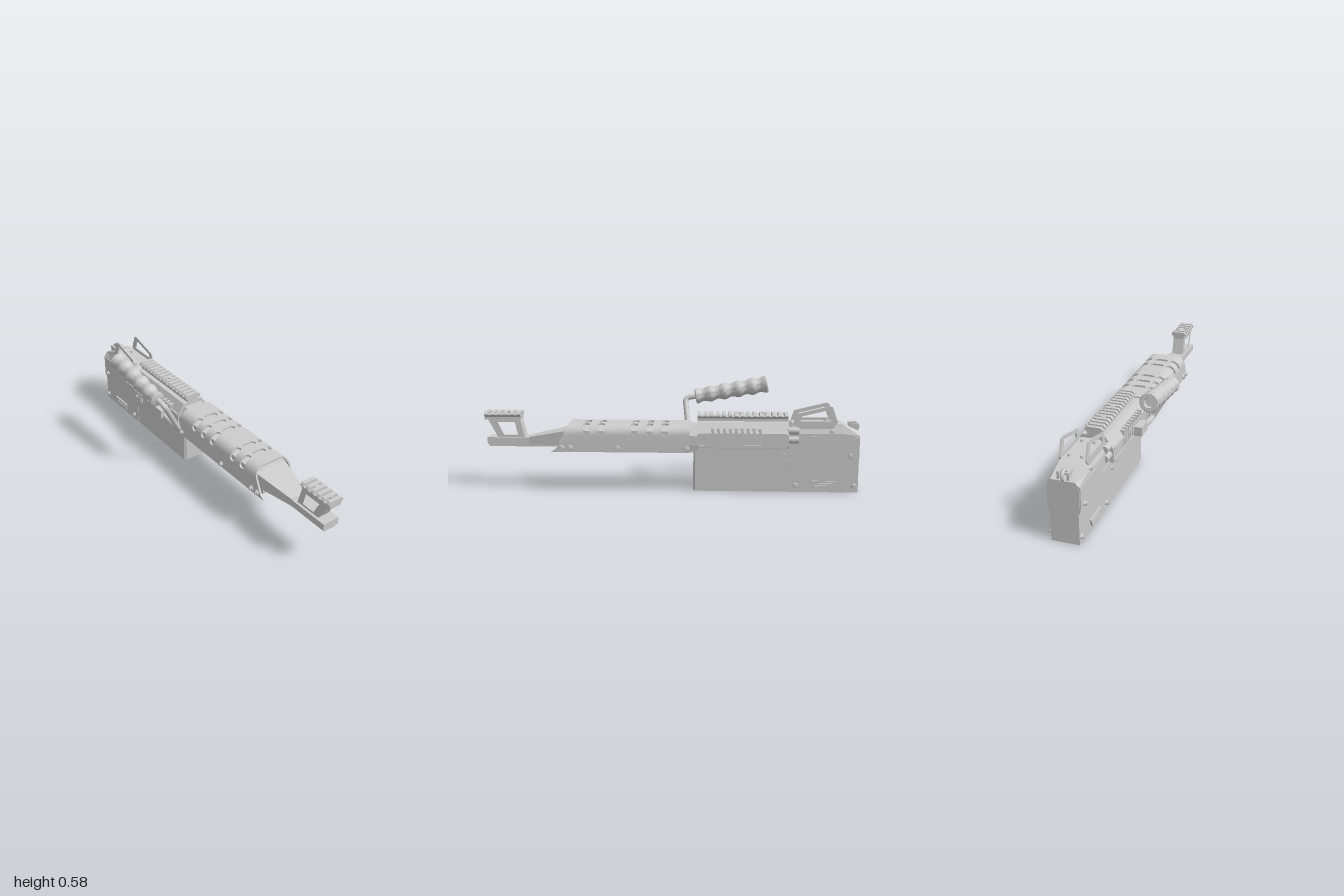
import * as THREE from 'three';
import { toCreasedNormals } from 'three/addons/utils/BufferGeometryUtils.js';

const grey = new THREE.MeshStandardMaterial({ color: 0xcccccc });
const thin = new THREE.MeshStandardMaterial({ color: 0xcccccc, side: THREE.DoubleSide });

function add(parent, name, geo, x = 0, y = 0, z = 0, mat = grey) {
  const m = new THREE.Mesh(geo, mat);
  m.name = name;
  m.position.set(x, y, z);
  parent.add(m);
  return m;
}

// Box given by its half width in x and its y and z ranges
function block(parent, name, half, y0, y1, z0, z1, x = 0) {
  return add(parent, name, new THREE.BoxGeometry(half * 2, y1 - y0, Math.abs(z1 - z0)), x, (y0 + y1) / 2, (z0 + z1) / 2);
}

function quadGeometry(quads) {
  const pos = [];
  for (const [a, b, c, d] of quads) pos.push(...a, ...b, ...c, ...a, ...c, ...d);
  const g = new THREE.BufferGeometry();
  g.setAttribute('position', new THREE.Float32BufferAttribute(pos, 3));
  g.computeVertexNormals();
  return g;
}

// Mirrored half profile [x, y], listed bottom to top, as a counter-clockwise ring
const ring = (half) => [...half, ...half.slice().reverse().map(([x, y]) => [-x, y])];

// Solid through rings placed at rising z: sections = [[z, halfProfile], ...]
function loft(sections) {
  const rings = sections.map(([z, half]) => ring(half).map(([x, y]) => [x, y, z]));
  const n = rings[0].length, quads = [];
  for (let s = 0; s + 1 < rings.length; s++) {
    for (let i = 0; i < n; i++) {
      const k = (i + 1) % n;
      quads.push([rings[s][i], rings[s][k], rings[s + 1][k], rings[s + 1][i]]);
    }
  }
  const h = n / 2, a = rings[0], b = rings[rings.length - 1];
  for (let i = 0; i + 1 < h; i++) {
    quads.push([b[i], b[i + 1], b[n - 2 - i], b[n - 1 - i]]);
    quads.push([a[n - 1 - i], a[n - 2 - i], a[i + 1], a[i]]);
  }
  return quadGeometry(quads);
}

// Side outline in [z, y] extruded across x
function plate(pts, width, hole) {
  const toV = (p) => p.map(([z, y]) => new THREE.Vector2(z, y));
  const shape = new THREE.Shape(toV(pts));
  if (hole) shape.holes.push(new THREE.Path(toV(hole)));
  const g = new THREE.ExtrudeGeometry(shape, { depth: width, bevelEnabled: false });
  g.translate(0, 0, -width / 2);
  return g.rotateY(-Math.PI / 2);
}

// Pair of screws with domed washers and hex heads, one on each side
function screws(parent, z, y, x, r = 0.014) {
  for (const s of [-1, 1]) {
    const washer = new THREE.CylinderGeometry(r * 0.75, r, 0.01, 16).rotateZ(-s * Math.PI / 2);
    add(parent, 'screwWasher', washer, s * (x + 0.005), y, z);
    add(parent, 'screwHead', new THREE.CylinderGeometry(r * 0.5, r * 0.5, 0.008, 6).rotateZ(Math.PI / 2), s * (x + 0.013), y, z);
  }
}

// Toothed accessory rail
function rail(parent, name, z0, z1, bottom, teeth) {
  const g = new THREE.Group();
  g.name = name;
  parent.add(g);
  add(g, 'railBase', loft([[z0, [[0.034, bottom], [0.034, 0.385], [0.045, 0.397]]], [z1, [[0.034, bottom], [0.034, 0.385], [0.045, 0.397]]]]));
  const pitch = (z1 - z0) / (teeth - 0.4);
  const tooth = [[0.034, 0.386], [0.046, 0.398], [0.046, 0.403], [0.036, 0.414]];
  for (let i = 0; i < teeth; i++) {
    const z = z0 + i * pitch;
    add(g, 'railTooth', loft([[z, tooth], [z + pitch * 0.6, tooth]]));
  }
}

// Bent sheet jacket, open below, with rounded slots through the top and corners
function jacketGeometry() {
  const half = [[-0.112, 0.214, -1, 0], [-0.112, 0.235, -1, 0]];
  for (let i = 0; i <= 8; i++) {
    const a = Math.PI - (i / 8) * Math.PI / 2, c = Math.cos(a), s = Math.sin(a);
    half.push([-0.057 + 0.055 * c, 0.305 + 0.055 * s, c, s]);
  }
  half.push([-0.04, 0.36, 0, 1], [-0.027, 0.36, 0, 1]);
  const prof = [...half, ...half.slice().reverse().map(([x, y, nx, ny]) => [-x, y, -nx, ny])];
  const n = prof.length, slots = [0.03, 0.11, 0.19, 0.365, 0.445];
  const ends = [2, 10, 11, n - 12, n - 11, n - 3], lines = slots.length * 2 + 2;
  const zAt = (i, j) => {
    if (j === 0) return -0.1;
    const y = prof[i][1];
    if (j === lines - 1) return y < 0.22 ? 0.63 : 0.6 - (y - 0.235) * 0.48;
    return slots[(j - 1) >> 1] + (j % 2 ? -1 : 1) * (ends.includes(i) ? 0.007 : 0.018);
  };
  const v = (i, j, t) => [prof[i][0] - prof[i][2] * t, prof[i][1] - prof[i][3] * t, zAt(i, j)];
  const solid = (i, j) => {
    if (i < 0 || j < 0 || i > n - 2 || j > lines - 2) return false;
    const k = Math.min(i, n - 2 - i);
    return !(j % 2 && ((k >= 2 && k < 10) || k >= 11));
  };
  const quads = [], t = 0.01;
  for (let i = 0; i < n - 1; i++) for (let j = 0; j < lines - 1; j++) {
    if (!solid(i, j)) continue;
    const c = [[i, j], [i, j + 1], [i + 1, j + 1], [i + 1, j]];
    quads.push(c.map(([a, b]) => v(a, b, 0)), c.map(([a, b]) => v(a, b, t)).reverse());
    [[i - 1, j], [i, j + 1], [i + 1, j], [i, j - 1]].forEach((nb, e) => {
      if (solid(...nb)) return;
      const p = c[e], q = c[(e + 1) % 4];
      quads.push([v(...q, 0), v(...p, 0), v(...p, t), v(...q, t)]);
    });
  }
  return toCreasedNormals(quadGeometry(quads), 0.6);
}

export function createModel() {
  const root = new THREE.Group();
  root.name = 'model';
  const body = new THREE.Group();
  body.name = 'body';
  body.position.x = 0.09;
  root.add(body);

  // Lower housing
  const chamfered = (w, y0, y1) => [[w, y0], [w, y1]];
  add(body, 'lowerFrontHousing', loft([[-0.62, chamfered(0.069, 0, 0.24)], [-0.13, chamfered(0.069, 0, 0.24)], [-0.12, chamfered(0.056, 0, 0.24)]]));
  block(body, 'lowerRearHousing', 0.071, 0, 0.2, -0.99, -0.62);
  for (const s of [-1, 1]) {
    add(body, 'sideVentFrame', plate([[-0.745, 0.062], [-0.755, 0.02], [-0.855, 0.02], [-0.87, 0.062]], 0.01,
      [[-0.757, 0.054], [-0.764, 0.028], [-0.848, 0.028], [-0.858, 0.054]]), s * 0.075);
    for (const y of [0.035, 0.047]) block(body, 'sideVentBar', 0.004, y - 0.003, y + 0.003, -0.855, -0.76, s * 0.073);
  }

  // Rear cover with bevelled top and sloping end
  add(body, 'rearCover', plate([[-0.555, 0.235], [-0.565, 0.165], [-0.99, 0.165], [-0.99, 0.26], [-0.62, 0.26], [-0.62, 0.235]], 0.156));
  const cover = (w, top) => [[0.077, 0.25], [0.077, Math.min(0.315, top - 0.02)], [w, top]];
  add(body, 'rearCoverTop', loft([[-0.99, cover(0.06, 0.325)], [-0.9, cover(0.058, 0.365)], [-0.64, cover(0.058, 0.365)], [-0.62, cover(0.058, 0.345)]]));
  for (const s of [-1, 1]) {
    add(body, 'sideCoverPlate', plate([[-0.57, 0.24], [-0.575, 0.175], [-0.985, 0.175], [-0.985, 0.3], [-0.74, 0.3], [-0.72, 0.24]], 0.006), s * 0.079);
    for (const y of [0.282, 0.33])
      add(body, 'endKnob', new THREE.CylinderGeometry(0.019, 0.019, 0.055, 16).rotateX(Math.PI / 2), s * 0.075, y, -0.645);
    // Sight guard ears
    add(body, 'sightGuard', plate([[-0.64, 0.36], [-0.66, 0.418], [-0.83, 0.46], [-0.845, 0.455], [-0.875, 0.375], [-0.85, 0.34], [-0.68, 0.34]], 0.007,
      [[-0.68, 0.38], [-0.685, 0.405], [-0.82, 0.438], [-0.842, 0.38]]), s * 0.065);
    for (const z of [-0.68, -0.83])
      add(body, 'topScrew', new THREE.CylinderGeometry(0.009, 0.013, 0.012, 12), s * 0.032, 0.37, z);
    block(body, 'ringLug', 0.006, 0.31, 0.365, -0.985, -0.94, s * 0.024);
  }
  add(body, 'rearRing', new THREE.TorusGeometry(0.022, 0.008, 10, 24).rotateY(Math.PI / 2), 0, 0.345, -0.97);
  add(body, 'ringPin', new THREE.CylinderGeometry(0.007, 0.007, 0.056, 10).rotateZ(Math.PI / 2), 0, 0.345, -0.955);

  // Middle receiver with slanted ribs
  const mid = [[0.098, 0.238], [0.1, 0.25], [0.1, 0.31], [0.06, 0.372]];
  add(body, 'receiver', loft([[-0.62, mid], [-0.14, mid]]));
  const neck = [[0.088, 0.225], [0.092, 0.25], [0.092, 0.3], [0.055, 0.352]];
  add(body, 'receiverNeck', loft([[-0.145, neck], [-0.08, neck]]));
  for (const s of [-1, 1]) {
    for (const y of [0.248, 0.312]) block(body, 'receiverSideRail', 0.004, y - 0.006, y + 0.006, -0.61, -0.15, s * 0.1);
    for (let i = 0; i < 9; i++) {
      const z = -0.22 - i * 0.031;
      add(body, 'receiverRib', plate([[z + 0.008, 0.345], [z - 0.006, 0.345], [z - 0.016, 0.262], [z - 0.002, 0.262]], 0.03), s * 0.09);
    }
  }
  rail(body, 'topRail', -0.62, -0.14, 0.36, 15);
  for (const z of [-0.36, -0.49]) add(body, 'railScrew', new THREE.CylinderGeometry(0.013, 0.013, 0.01, 16), 0, 0.411, z);

  // Slotted jacket and the inner frame it covers
  add(body, 'jacket', jacketGeometry(), 0, 0, 0, thin);
  const frame = (w, y0, y1) => [[w, y0], [w, y1]];
  add(body, 'innerFrame', loft([[-0.1, frame(0.094, 0.245, 0.325)], [0.54, frame(0.094, 0.245, 0.325)], [0.76, frame(0.0475, 0.24, 0.28)]]));
  block(body, 'frontBar', 0.0475, 0.24, 0.277, 0.74, 0.985);
  block(body, 'underBar', 0.034, 0.226, 0.245, -0.12, 0.98);
  for (const s of [-1, 1]) block(body, 'underRail', 0.012, 0.21, 0.25, -0.12, 0.58, s * 0.066);

  // Front riser and its short rail
  add(body, 'frontRiser', plate([[0.985, 0.378], [0.93, 0.275], [0.785, 0.275], [0.81, 0.378]], 0.068,
    [[0.93, 0.358], [0.897, 0.288], [0.822, 0.288], [0.838, 0.358]]));
  rail(body, 'frontRail', 0.805, 1, 0.372, 6);
  for (const z of [0.87, 0.96]) add(body, 'railScrew', new THREE.CylinderGeometry(0.012, 0.012, 0.01, 16), 0, 0.409, z);

  // Screws
  for (const z of [0.575, 0.53, 0.28, -0.085]) screws(body, z, 0.235, 0.11, 0.016);
  for (const [z, y, x] of [[-0.968, 0.035, 0.07], [-0.66, 0.035, 0.07], [-0.945, 0.2, 0.08], [-0.6, 0.2, 0.076], [-0.845, 0.325, 0.068]])
    screws(body, z, y, x);

  // Side crank: mount, bent rod and ribbed grip
  const crank = new THREE.Group();
  crank.name = 'crank';
  root.add(crank);
  block(crank, 'crankMount', 0.022, 0.25, 0.3, -0.335, -0.245, -0.033);
  const V = (...p) => new THREE.Vector3(...p);
  const path = new THREE.CurvePath();
  const pts = [V(-0.149, 0.475, -0.18), V(-0.145, 0.458, -0.068), V(-0.032, 0.248, -0.095), V(-0.028, 0.262, -0.3)];
  let from = pts[0];
  for (let i = 1; i < 3; i++) {
    const inn = pts[i].clone().add(pts[i - 1].clone().sub(pts[i]).setLength(0.03));
    const out = pts[i].clone().add(pts[i + 1].clone().sub(pts[i]).setLength(0.03));
    path.add(new THREE.LineCurve3(from, inn));
    path.add(new THREE.QuadraticBezierCurve3(inn, pts[i], out));
    from = out;
  }
  path.add(new THREE.LineCurve3(from, pts[3]));
  add(crank, 'crankRod', new THREE.TubeGeometry(path, 80, 0.015, 12, false));
  const a = V(-0.147, 0.467, -0.125), b = V(-0.157, 0.537, -0.525), len = a.distanceTo(b);
  const prof = [new THREE.Vector2(0, 0), new THREE.Vector2(0.034, 0)];
  for (let i = 0; i <= 48; i++) {
    const t = i / 48;
    prof.push(new THREE.Vector2(0.039 + 0.005 * t + 0.005 * Math.cos(t * Math.PI * 10), 0.005 + t * (len - 0.01)));
  }
  prof.push(new THREE.Vector2(0.044, len), new THREE.Vector2(0.026, len), new THREE.Vector2(0.022, len - 0.015), new THREE.Vector2(0, len - 0.015));
  const grip = add(crank, 'crankGrip', toCreasedNormals(new THREE.LatheGeometry(prof, 28), 0.6), a.x, a.y, a.z);
  grip.quaternion.setFromUnitVectors(V(0, 1, 0), b.clone().sub(a).normalize());
  return root;
}
